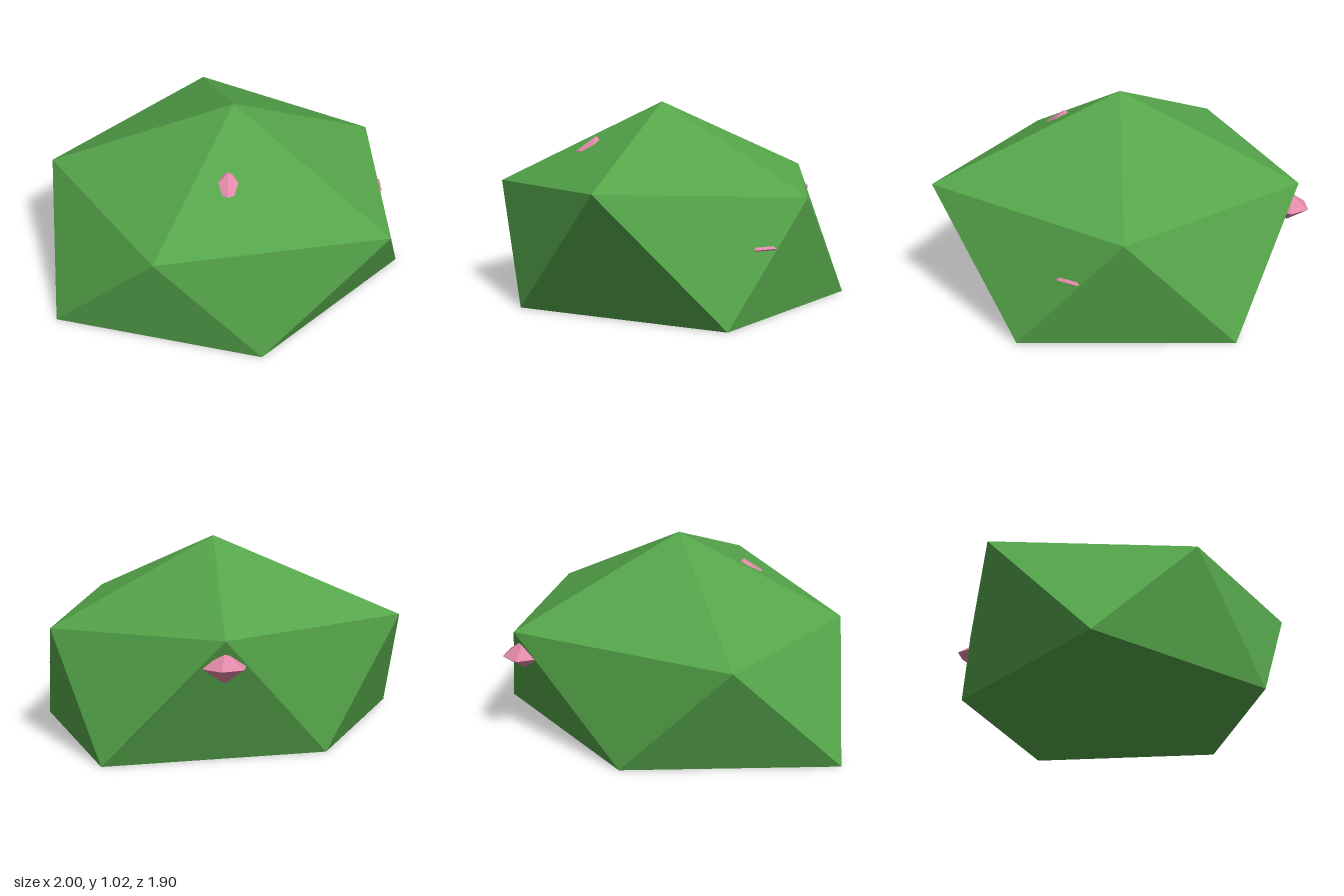
import * as THREE from 'three';

export function createModel() {
  const group = new THREE.Group();
  const leafGreen = new THREE.MeshStandardMaterial({ color: 0x55a54a, flatShading: true });
  leafGreen.name = 'leaf green';
  const blossomPink = new THREE.MeshStandardMaterial({ color: 0xe088a8, flatShading: true });
  blossomPink.name = 'blossom pink';

  // Faceted bush: an apex, an upper ring and a ground ring of five corners each
  const apex = [0.1, 1.02, 0];
  const upper = [[1, 0.58, 0], [0.44, 0.65, 0.95], [-0.64, 0.585, 0.48], [-0.73, 0.62, -0.55], [0.42, 0.63, -0.9]];
  const lower = [[0.89, 0, 0.52], [-0.19, 0, 0.79], [-1, 0, 0], [-0.18, 0, -0.77], [0.91, 0, -0.55]];
  const positions = [];
  const face = (...corners) => corners.forEach((c) => positions.push(...c));
  for (let i = 0; i < 5; i++) {
    const j = (i + 1) % 5;
    face(apex, upper[j], upper[i]);
    face(upper[i], upper[j], lower[i]);
    face(lower[i], upper[j], lower[j]);
    if (i > 0 && i < 4) face(lower[0], lower[i], lower[j]); // flat base
  }
  const bushGeometry = new THREE.BufferGeometry();
  bushGeometry.setAttribute('position', new THREE.Float32BufferAttribute(positions, 3));
  bushGeometry.computeVertexNormals();
  const bush = new THREE.Mesh(bushGeometry, leafGreen);
  bush.name = 'bush';
  group.add(bush);

  // Blossoms: flattened six-sided gems sunk into the leaves
  const blossomGeometry = new THREE.SphereGeometry(0.11, 6, 2).scale(1, 0.7, 1);
  const blossoms = {
    topBlossom: [-0.11, 0.765, 0.3],
    leftBlossom: [0.85, 0.355, 0.22],
    backBlossom: [0.405, 0.5, -0.855],
  };
  for (const [name, position] of Object.entries(blossoms)) {
    const blossom = new THREE.Mesh(blossomGeometry, blossomPink);
    blossom.name = name;
    blossom.position.set(...position);
    group.add(blossom);
  }
  return group;
}
